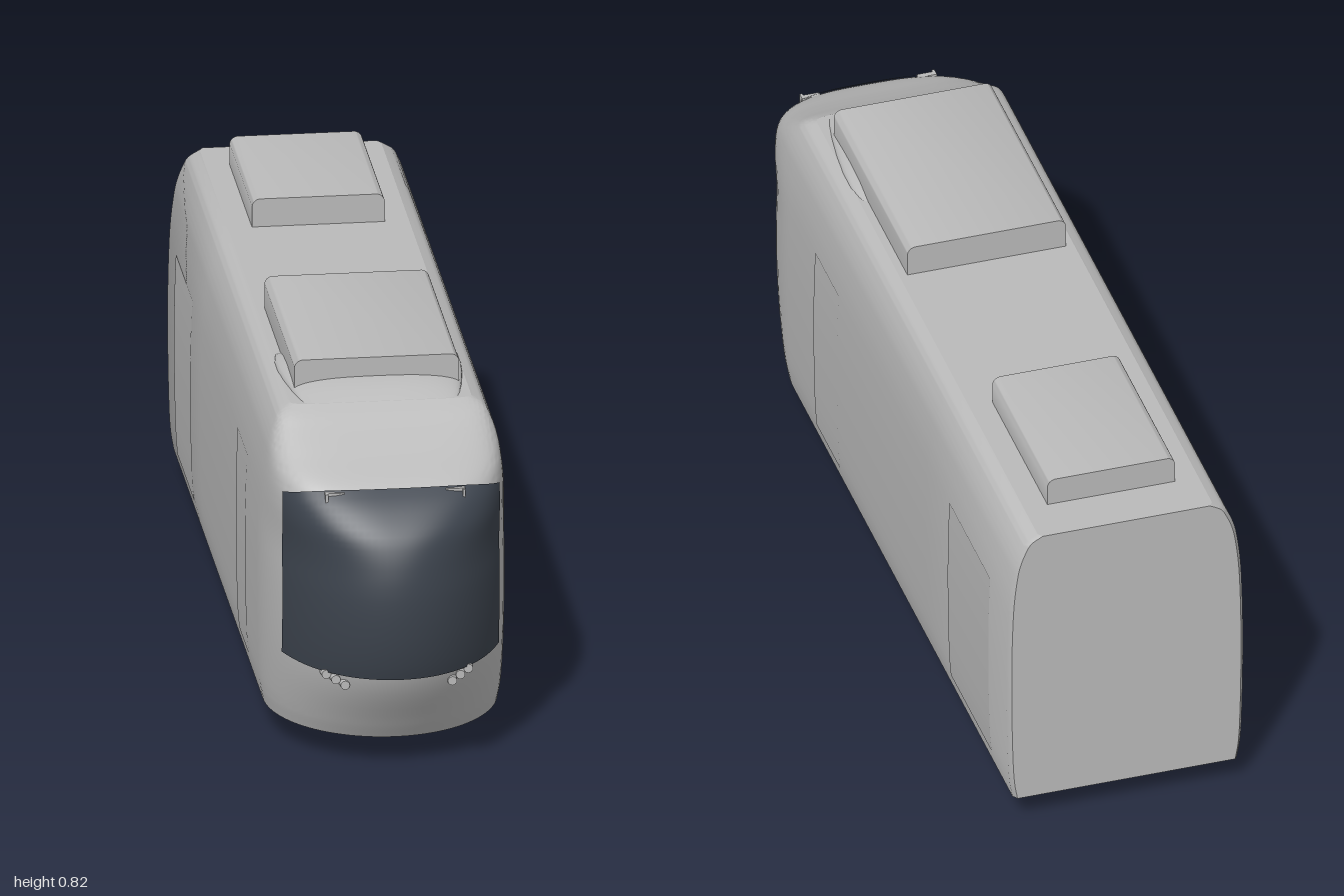
import * as THREE from 'three';
import { toCreasedNormals } from 'three/addons/utils/BufferGeometryUtils.js';

const paint = new THREE.MeshStandardMaterial({ color: 0xbababa });
paint.name = 'grey paint';
const glass = new THREE.MeshStandardMaterial({ color: 0x3c434d });
glass.name = 'dark glass';

const Z0 = 0.6;      // where the nose starts to taper
const BACK = -1;
const BASE = 0.065, ROOF = 0.752;

// Levels of the body: half width, height, furthest forward reach
const levels = new THREE.CatmullRomCurve3([
  [0.255, BASE, 0.875], [0.262, 0.11, 0.905], [0.267, 0.24, 0.98], [0.268, 0.42, 1.0],
  [0.265, 0.54, 0.97], [0.262, 0.59, 0.93], [0.257, 0.635, 0.872], [0.249, 0.68, 0.775],
  [0.236, 0.715, 0.705], [0.223, 0.737, 0.665], [0.198, ROOF, 0.635],
].map((p) => new THREE.Vector3(...p)), false, 'centripetal').getPoints(60);

function levelAt(y) {
  let i = 1;
  while (i < levels.length - 1 && levels[i].y < y) i++;
  const a = levels[i - 1], b = levels[i];
  return a.clone().lerp(b, (y - a.y) / (b.y - a.y));
}

// The plan of the nose gets squarer towards the roof
const squareness = (y) => 2 + 4 * Math.pow(Math.max(0, y - 0.45) / 0.3, 2.3);

function noseZ(x, y, off = 0) {
  const l = levelAt(y), e = squareness(y);
  const r = Math.min(1, Math.abs(x) / (l.x + off));
  return Z0 + (l.z + off - Z0) * Math.pow(1 - Math.pow(r, e), 1 / e);
}

// Plan outline of one level, from the back right corner round the nose to the back left
function outline(l) {
  const half = [[l.x - 0.008, BACK], [l.x, BACK + 0.012], [l.x, -0.4], [l.x, 0.2]];
  const e = squareness(l.y), n = 24;
  for (let i = 0; i <= n; i++) {
    const a = (i / n) * Math.PI / 2;
    const x = i === n ? 0 : l.x * Math.pow(Math.cos(a), 2 / e);
    half.push([x, Z0 + (l.z - Z0) * Math.pow(Math.sin(a), 2 / e)]);
  }
  return [...half.map(([x, z]) => [-x, z]), ...half.slice(0, -1).reverse()];
}

// Surface through a grid of points, facing du x dv
function grid(nu, nv, f) {
  const pos = [], idx = [];
  for (let j = 0; j <= nv; j++) for (let i = 0; i <= nu; i++) pos.push(...f(i, j));
  for (let j = 0; j < nv; j++) for (let i = 0; i < nu; i++) {
    const a = j * (nu + 1) + i, d = a + nu + 1;
    idx.push(a, a + 1, d + 1, a, d + 1, d);
  }
  const g = new THREE.BufferGeometry();
  g.setAttribute('position', new THREE.Float32BufferAttribute(pos, 3));
  g.setIndex(idx);
  g.computeVertexNormals();
  return g;
}

const flat = (pts) => new THREE.ShapeGeometry(new THREE.Shape(pts.map((p) => new THREE.Vector2(...p))));

export function createModel() {
  const model = new THREE.Group();
  const add = (name, geometry, material = paint, x = 0, y = 0, z = 0) => {
    const m = new THREE.Mesh(geometry, material);
    m.name = name;
    m.position.set(x, y, z);
    model.add(m);
    return m;
  };

  // Body shell with flat roof, floor and rear wall
  const rings = levels.map(outline);
  const shell = grid(rings[0].length - 1, rings.length - 1,
    (i, j) => [rings[j][i][0], levels[j].y, rings[j][i][1]]);
  add('bodyShell', toCreasedNormals(shell, 0.6));
  add('roof', flat(rings[rings.length - 1].map(([x, z]) => [x, -z])).rotateX(-Math.PI / 2), paint, 0, ROOF);
  add('floor', flat(rings[0]).rotateX(Math.PI / 2), paint, 0, BASE);
  const right = levels.map((l) => [l.x - 0.008, l.y]);
  const wall = [...right, ...right.map(([x, y]) => [-x, y]).reverse()];
  add('rearWall', flat(wall).rotateY(Math.PI), paint, 0, 0, BACK);

  // Wraparound windscreen
  const W = 0.237;
  add('windscreen', grid(48, 30, (i, j) => {
    const x = W * Math.sin((i / 24 - 1) * Math.PI / 2);
    const k = Math.pow(Math.abs(x) / W, 5);
    const y = THREE.MathUtils.lerp(0.235 + 0.006 * k, 0.637 - 0.022 * k, j / 30);
    return [x, y, noseZ(x, y, 0.005)];
  }), glass);

  // Roof fairing in front of the equipment box: z, half width, height
  const fairing = [
    [0.635, 0.165, 0], [0.6, 0.175, 0.016], [0.55, 0.185, 0.029], [0.48, 0.195, 0.031],
    [0.42, 0.2, 0.031], [0.36, 0.2, 0.024], [0.32, 0.194, 0.012], [0.295, 0.184, 0],
  ];
  add('roofFairing', grid(24, fairing.length - 1, (i, j) => {
    const [z, w, h] = fairing[j], a = Math.PI * (1 - i / 24), c = Math.cos(a);
    return [w * Math.sign(c) * Math.pow(Math.abs(c), 0.75), ROOF - 0.001 + h * Math.pow(Math.abs(Math.sin(a)), 0.9), z];
  }));

  // Roof equipment boxes with softened long edges
  const roofBox = (name, w, top, z0, z1) => {
    const s = new THREE.Shape(), r = 0.016, y = ROOF - 0.005;
    s.moveTo(-w, y);
    s.lineTo(w, y);
    s.lineTo(w, top - r);
    s.quadraticCurveTo(w - 0.003, top - 0.003, w - r, top);
    s.lineTo(r - w, top);
    s.quadraticCurveTo(0.003 - w, top - 0.003, -w, top - r);
    const g = new THREE.ExtrudeGeometry(s, { depth: z1 - z0, bevelEnabled: false, curveSegments: 6 });
    add(name, toCreasedNormals(g, 0.7), paint, 0, 0, z0);
  };
  roofBox('frontRoofBox', 0.18, 0.823, 0.015, 0.55);
  roofBox('rearRoofBox', 0.145, 0.816, -0.89, -0.49);

  // Wheel profile: tread outside, flange inside, turned about x
  const wheelProfile = [[0, 0], [0.066, 0], [0.066, 0.006], [0.058, 0.011], [0.056, 0.028], [0, 0.028]]
    .map((p) => new THREE.Vector2(...p));

  for (const side of [-1, 1]) {
    const label = side > 0 ? 'left' : 'right';

    // Doors follow the side wall
    for (const [name, z0, z1] of [['FrontDoor', 0.24, 0.41], ['RearDoor', -0.86, -0.565]]) {
      add(label + name, grid(1, 12, (i, j) => {
        const y = 0.1 + 0.46 * j / 12;
        return [side * (levelAt(y).x + 0.0015), y, (side > 0) === (i === 0) ? z1 : z0];
      }));
    }

    // Headlight cluster under the windscreen
    for (const [x, y] of [[0.155, 0.231], [0.136, 0.223], [0.117, 0.213]]) {
      const lamp = new THREE.CylinderGeometry(0.01, 0.012, 0.024, 16).rotateX(Math.PI / 2);
      add(label + 'Headlight', lamp, paint, side * x, y, noseZ(x, y));
    }

    // Corner brackets at the top of the windscreen
    add(label + 'BracketBar', new THREE.BoxGeometry(0.042, 0.006, 0.012), paint, side * 0.132, 0.63, noseZ(0.132, 0.63) + 0.003);
    add(label + 'BracketPost', new THREE.BoxGeometry(0.006, 0.027, 0.012), paint, side * 0.15, 0.619, noseZ(0.15, 0.619) + 0.003);

    // Wheels and bogie side rail
    for (const z of [0.01, -0.395]) {
      const g = new THREE.LatheGeometry(wheelProfile, 32).rotateZ(-side * Math.PI / 2);
      add(label + 'Wheel', toCreasedNormals(g, 0.5), paint, side * 0.157, 0.069, z);
    }
    add(label + 'BogieRail', new THREE.BoxGeometry(0.008, 0.008, 0.405), paint, side * 0.152, 0.064, -0.1925);
  }

  // Axles
  for (const z of [0.01, -0.395]) {
    add('axle', new THREE.BoxGeometry(0.312, 0.01, 0.014), paint, 0, 0.064, z);
  }
  return model;
}
